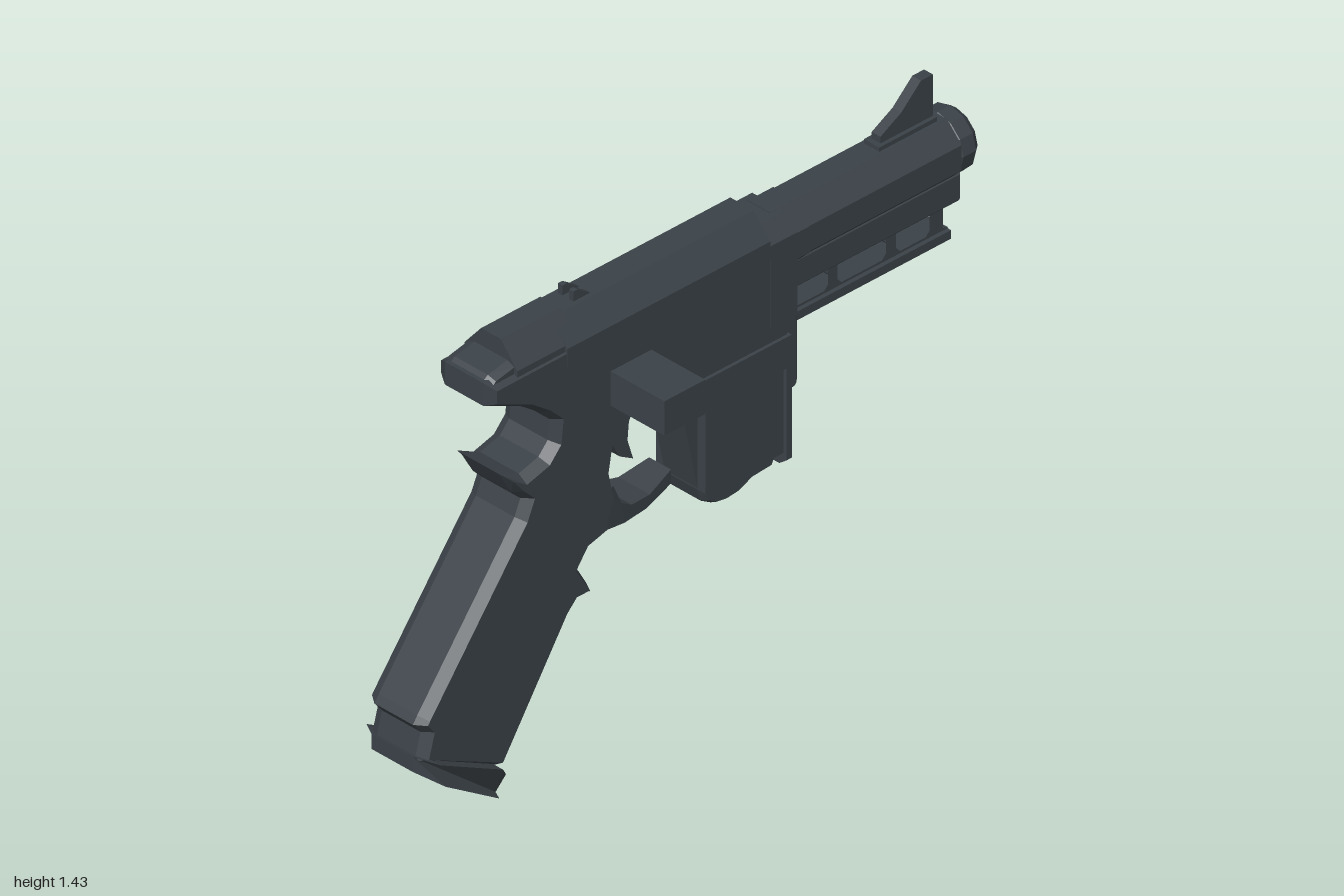
import * as THREE from 'three';

const CX = -0.083; // middle plane of the body

export function createModel() {
  const root = new THREE.Group();
  root.name = 'sidearmProp';
  const steel = new THREE.MeshStandardMaterial({ color: 0x3a4147, flatShading: true });
  steel.name = 'dark gunmetal';

  const add = (name, geo, x = CX, y = 0, z = 0) => {
    const m = new THREE.Mesh(geo, steel);
    m.name = name;
    m.position.set(x, y, z);
    root.add(m);
    return m;
  };
  const toShape = (pts) => new THREE.Shape(pts.map((p) => new THREE.Vector2(p[0], p[1])));

  // Side profile of [z, y] points, extruded across x with chamfered edges
  const side = (name, pts, half, bevel = 0, inset = bevel, holes = []) => {
    const s = toShape(pts);
    for (const h of holes) s.holes.push(toShape(h));
    const g = new THREE.ExtrudeGeometry(s, {
      depth: 2 * (half - bevel), bevelEnabled: bevel > 0, bevelThickness: bevel,
      bevelSize: inset, bevelOffset: -inset, bevelSegments: 1,
    });
    g.translate(0, 0, -(half - bevel));
    g.rotateY(-Math.PI / 2);
    return add(name, g);
  };
  // Cross-section of [x, y] points, extruded from z0 to z1
  const along = (name, pts, z0, z1) => {
    const g = new THREE.ExtrudeGeometry(toShape(pts), { depth: z1 - z0, bevelEnabled: false });
    return add(name, g, CX, 0, z0);
  };
  const box = (name, x0, x1, y0, y1, z0, z1) =>
    add(name, new THREE.BoxGeometry(x1 - x0, y1 - y0, z1 - z0), (x0 + x1) / 2, (y0 + y1) / 2, (z0 + z1) / 2);
  const wide = (name, half, y0, y1, z0, z1) => box(name, CX - half, CX + half, y0, y1, z0, z1);

  // Frame and raked grip in one outline
  side('frameAndGrip', [
    [0.745, 1.265], [0.745, 1.196], [0.614, 1.137], [0.55, 1.09], [0.51, 1.05], [0.517, 0.99],
    [0.55, 0.954], [0.62, 0.935], [0.69, 0.965], [0.646, 0.89], [0.614, 0.858], [0.635, 0.81],
    [0.98, 0.365], [0.995, 0.343], [0.968, 0.31], [0.99, 0.23], [0.70, 0.09],
    [0.464, 0.45], [0.437, 0.477], [0.383, 0.477], [0.38, 0.495], [0.426, 0.574], [0.394, 0.617],
    [0.33, 0.65], [0.295, 0.73], [0.314, 0.82], [0.30, 0.9], [0.25, 0.965], [0.153, 0.987],
    [0.078, 0.96], [0.06, 0.9], [-0.30, 0.9], [-0.335, 1.0], [-0.335, 1.27],
  ], 0.102, 0.032, 0.018);

  // Flared base plate: width grows towards the back, then pinches at the ends
  const base = side('gripBasePlate', [
    [0.96, 0.235], [1.0, 0.25], [1.0, 0.205], [0.94, 0.16], [0.73, 0.02],
    [0.694, 0.0], [0.657, 0.037], [0.715, 0.1],
  ], 1);
  const bp = base.geometry.attributes.position;
  for (let i = 0; i < bp.count; i++) {
    const z = bp.getZ(i);
    const half = z > 0.98 ? 0.075 : z < 0.7 ? 0.062 : 0.11 + 0.025 * (z - 0.7) / 0.26;
    bp.setX(i, Math.sign(bp.getX(i)) * half);
  }
  base.geometry.computeVertexNormals();

  // Trigger guard, narrowing to its open tip
  const guard = side('triggerGuard', [
    [0.40, 0.62], [0.324, 0.64], [0.25, 0.622], [0.158, 0.615], [0.05, 0.633], [0.05, 0.675],
    [0.142, 0.649], [0.22, 0.66], [0.265, 0.69], [0.30, 0.76], [0.34, 0.76],
  ], 1);
  const gp = guard.geometry.attributes.position;
  for (let i = 0; i < gp.count; i++) {
    const t = THREE.MathUtils.clamp((gp.getZ(i) - 0.05) / 0.27, 0, 1);
    gp.setX(i, gp.getX(i) * (0.04 + 0.05 * t));
  }
  guard.geometry.computeVertexNormals();

  side('trigger', [
    [0.28, 0.99], [0.265, 0.944], [0.24, 0.89], [0.244, 0.83], [0.217, 0.783], [0.17, 0.756],
    [0.19, 0.82], [0.185, 0.874], [0.158, 0.93], [0.15, 1.0],
  ], 0.025);

  // Chamfered upper housing, rear cap and tail
  const roof = (w, low, mid, top, flat) =>
    [[-w, low], [w, low], [w, mid], [flat, top], [-flat, top], [-w, mid]];
  along('upperHousing', roof(0.105, 1.21, 1.265, 1.33, 0.042), -0.24, 0.48);
  along('housingCollar', roof(0.105, 1.0, 1.25, 1.293, 0.06), -0.335, -0.24);
  along('rearCap', roof(0.096, 1.22, 1.27, 1.34, 0.036), 0.44, 0.65);
  side('rearTail', [[0.64, 1.29], [0.72, 1.275], [0.745, 1.255], [0.745, 1.2], [0.64, 1.15]], 0.085, 0.025, 0.012);

  // Rear sight posts and front sight
  for (const s of [-1, 1]) {
    const post = side('rearSightPost', [[0.385, 1.32], [0.385, 1.36], [0.37, 1.36], [0.325, 1.33], [0.325, 1.32]], 0.008);
    post.position.x = CX + s * 0.02;
  }
  side('frontSight', [[-0.716, 1.28], [-0.716, 1.325], [-0.79, 1.365], [-0.86, 1.43], [-0.902, 1.43], [-0.902, 1.28]], 0.016);
  wide('frontSightBase', 0.028, 1.28, 1.305, -0.905, -0.7);

  // Eight-sided barrel, with a collar and a hollow muzzle ring
  const barrel = (name, r, z0, z1) => {
    const g = new THREE.CylinderGeometry(r, r, z1 - z0, 8);
    g.rotateY(Math.PI / 8);
    g.rotateX(Math.PI / 2);
    return add(name, g, CX, 1.2, (z0 + z1) / 2);
  };
  barrel('barrel', 0.1, -0.93, -0.3);
  barrel('barrelCollar', 0.103, -0.39, -0.3);
  const ring = new THREE.LatheGeometry([
    [0, -0.08], [0.058, -0.08], [0.062, 0.0], [0.078, 0.0], [0.094, -0.02], [0.094, -0.065], [0.08, -0.082], [0, -0.082],
  ].reverse().map((p) => new THREE.Vector2(p[0], p[1])), 12);
  ring.rotateX(-Math.PI / 2);
  add('muzzleRing', ring, CX, 1.2, -1);

  // Lug below the barrel and the slotted rail
  side('underLug', [[-0.32, 1.14], [-0.32, 1.035], [-0.96, 1.035], [-0.968, 1.05], [-0.968, 1.14]], 0.062, 0.015);
  const slot = (a, b) => [
    [a, 0.98], [a - 0.014, 0.965], [b + 0.014, 0.965], [b, 0.98],
    [b, 1.022], [b + 0.014, 1.037], [a - 0.014, 1.037], [a, 1.022],
  ];
  side('slottedRail', [
    [-0.34, 1.045], [-0.34, 0.932], [-0.93, 0.932], [-0.945, 0.945], [-0.935, 0.962], [-0.92, 0.965], [-0.92, 1.045],
  ], 0.035, 0, 0, [slot(-0.383, -0.512), slot(-0.545, -0.717), slot(-0.753, -0.872)]);
  wide('railFoot', 0.048, 0.932, 0.958, -0.935, -0.38);

  // Front post, its narrow rib, and the magazine well
  side('frontPost', [[-0.295, 1.26], [-0.295, 0.557], [-0.335, 0.557], [-0.335, 1.26]], 0.095, 0.015, 0.01);
  side('frontRib', [[-0.32, 1.12], [-0.32, 0.73], [-0.38, 0.73], [-0.396, 0.75], [-0.396, 1.12]], 0.06, 0.02);
  wide('magazineWell', 0.112, 0.86, 0.955, -0.308, 0.067);

  // Magazine with a sloped back and rounded floor
  wide('magazine', 0.09, 0.59, 0.87, -0.3, -0.024);
  side('magazineWedge', [[0.035, 0.87], [-0.024, 0.595], [-0.06, 0.595], [-0.06, 0.87]], 0.06);
  side('magazineFloor', [
    [-0.024, 0.6], [-0.04, 0.547], [-0.075, 0.526], [-0.115, 0.52], [-0.16, 0.525],
    [-0.206, 0.545], [-0.28, 0.55], [-0.3, 0.6],
  ], 0.075, 0.02, 0.01);

  // Block standing out on the left side
  box('sideBlock', -0.02, 0.215, 1.022, 1.126, 0.18, 0.325);

  return root;
}
